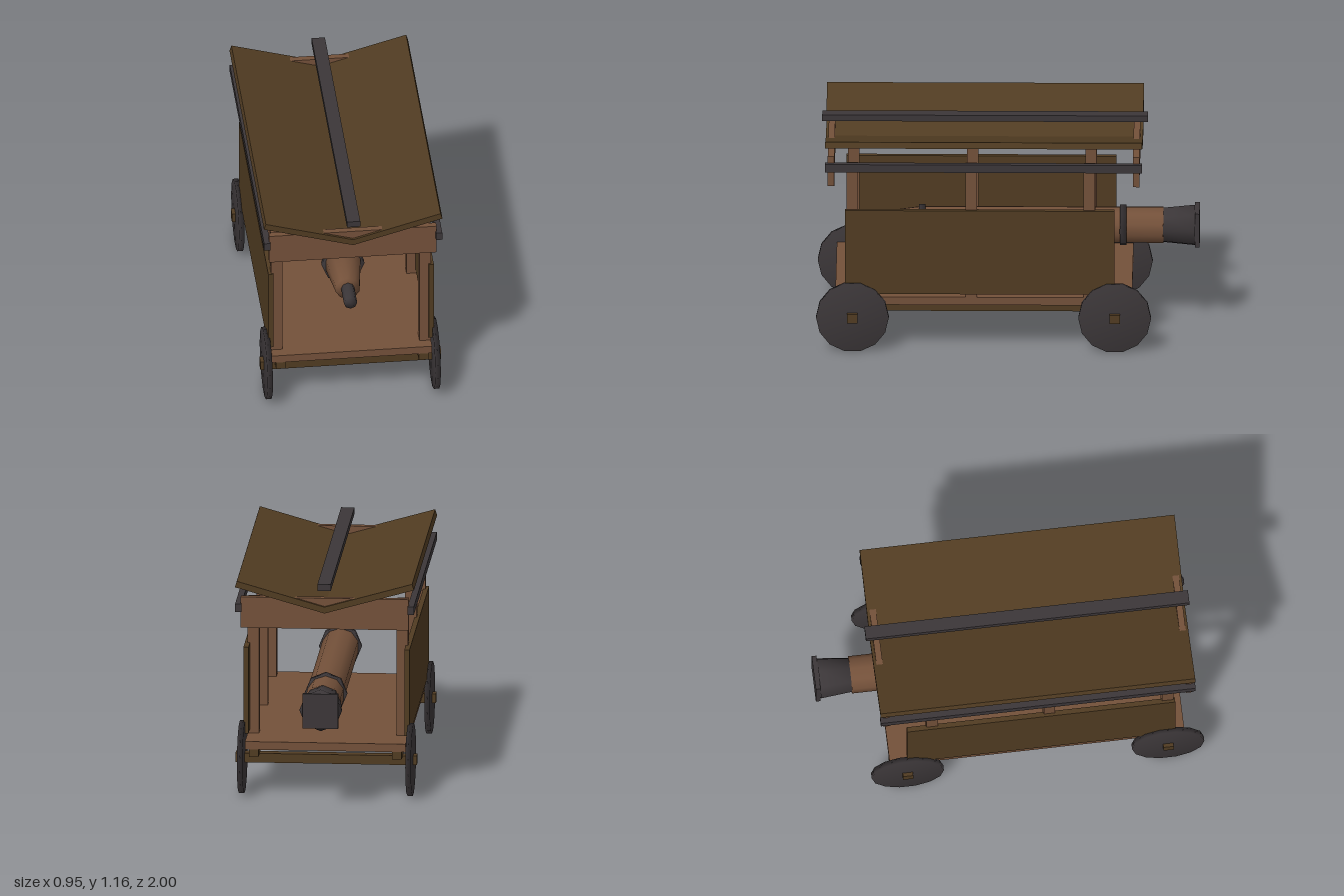
import * as THREE from 'three';
import { mergeVertices } from 'three/addons/utils/BufferGeometryUtils.js';

export function createModel() {
  const model = new THREE.Group();
  model.name = 'coveredBatteringRam';
  const mat = (name, color) => {
    const m = new THREE.MeshStandardMaterial({ color });
    m.name = name;
    return m;
  };
  const lightWood = mat('lightWood', 0x74513a);
  const darkWood = mat('darkWood', 0x513c22);
  const iron = mat('iron', 0x3c3739);

  const add = (name, geometry, material) => {
    const mesh = new THREE.Mesh(geometry, material);
    mesh.name = name;
    model.add(mesh);
    return mesh;
  };
  // Box given by its minimum and maximum on each axis
  const box = (name, material, [x0, x1], [y0, y1], [z0, z1]) => {
    const mesh = add(name, new THREE.BoxGeometry(x1 - x0, y1 - y0, z1 - z0), material);
    mesh.position.set((x0 + x1) / 2, (y0 + y1) / 2, (z0 + z1) / 2);
    return mesh;
  };
  // Low-poly cylinder whose normals are shared over all faces
  const softCylinder = (rTop, rBottom, length, sides) => {
    const g = new THREE.CylinderGeometry(rTop, rBottom, length, sides);
    g.deleteAttribute('normal');
    g.deleteAttribute('uv');
    const merged = mergeVertices(g, 1e-4);
    merged.computeVertexNormals();
    return merged;
  };
  // Round part of the ram lying along z
  const ramPart = (name, material, zBack, zFront, rBack, rFront, sides) => {
    const g = softCylinder(rFront, rBack, zFront - zBack, sides);
    g.rotateX(Math.PI / 2);
    add(name, g, material).position.set(0, 0.547, (zBack + zFront) / 2);
  };
  const mirrored = (a, b, s) => (s > 0 ? [a, b] : [-b, -a]);

  // Platform
  box('floor', lightWood, [-0.42, 0.42], [0.25, 0.293], [-0.65, 0.9]);

  for (const s of [1, -1]) {
    const side = s > 0 ? 'left' : 'right';
    box(side + 'Sill', darkWood, mirrored(0.35, 0.4, s), [0.21, 0.25], [-0.65, 0.9]);
    box(side + 'Panel', darkWood, mirrored(0.408, 0.435, s), [0.315, 0.778], [-0.56, 0.85]);
    box(side + 'Rail', iron, mirrored(0.435, 0.468, s), [1.002, 1.045], [-0.703, 0.953]);
    for (const z of [0.812, 0.19, -0.428])
      box(side + 'Post', lightWood, mirrored(0.36, 0.42, s), [0.293, 1.02], [z - 0.03, z + 0.03]);
  }

  // Axles and solid wheels
  for (const z of [0.81, -0.56]) {
    box('axle', darkWood, [-0.475, 0.475], [0.166, 0.215], [z - 0.027, z + 0.027]);
    for (const s of [1, -1]) {
      const g = softCylinder(0.19, 0.19, 0.029, 14);
      g.rotateZ(Math.PI / 2);
      add('wheel', g, iron).position.set(s * 0.441, 0.19, z);
    }
  }

  // Cross boards carrying the roof
  for (const z of [0.922, -0.672])
    box('crossBoard', lightWood, [-0.44, 0.44], [0.915, 1.08], [z - 0.017, z + 0.017]);

  // Roof with a V section
  const section = new THREE.Shape([
    [0, 1.002], [0.469, 1.135], [0.459, 1.167], [0, 1.036], [-0.459, 1.167], [-0.469, 1.135],
  ].map(([x, y]) => new THREE.Vector2(x, y)));
  const roof = add('roof', new THREE.ExtrudeGeometry(section, { depth: 1.656, bevelEnabled: false }), darkWood);
  roof.position.z = -0.704;
  box('ridgeBeam', iron, [-0.035, 0.035], [1.13, 1.164], [-0.73, 0.972]);

  // Ram: log, tapered nose, striking pin, bands and flared butt
  ramPart('ramLog', lightWood, -0.81, 0.45, 0.098, 0.098, 10);
  ramPart('ramNose', lightWood, 0.45, 0.69, 0.098, 0.065, 10);
  ramPart('strikingPin', iron, 0.66, 0.825, 0.035, 0.035, 8);
  for (const z of [0.45, -0.6]) ramPart('band', iron, z - 0.017, z + 0.017, 0.112, 0.112, 8);
  ramPart('flaredButt', iron, -0.975, -0.81, 0.112, 0.095, 8);
  box('buttPlate', iron, [-0.093, 0.093], [0.454, 0.64], [-1, -0.975]);

  return model;
}
